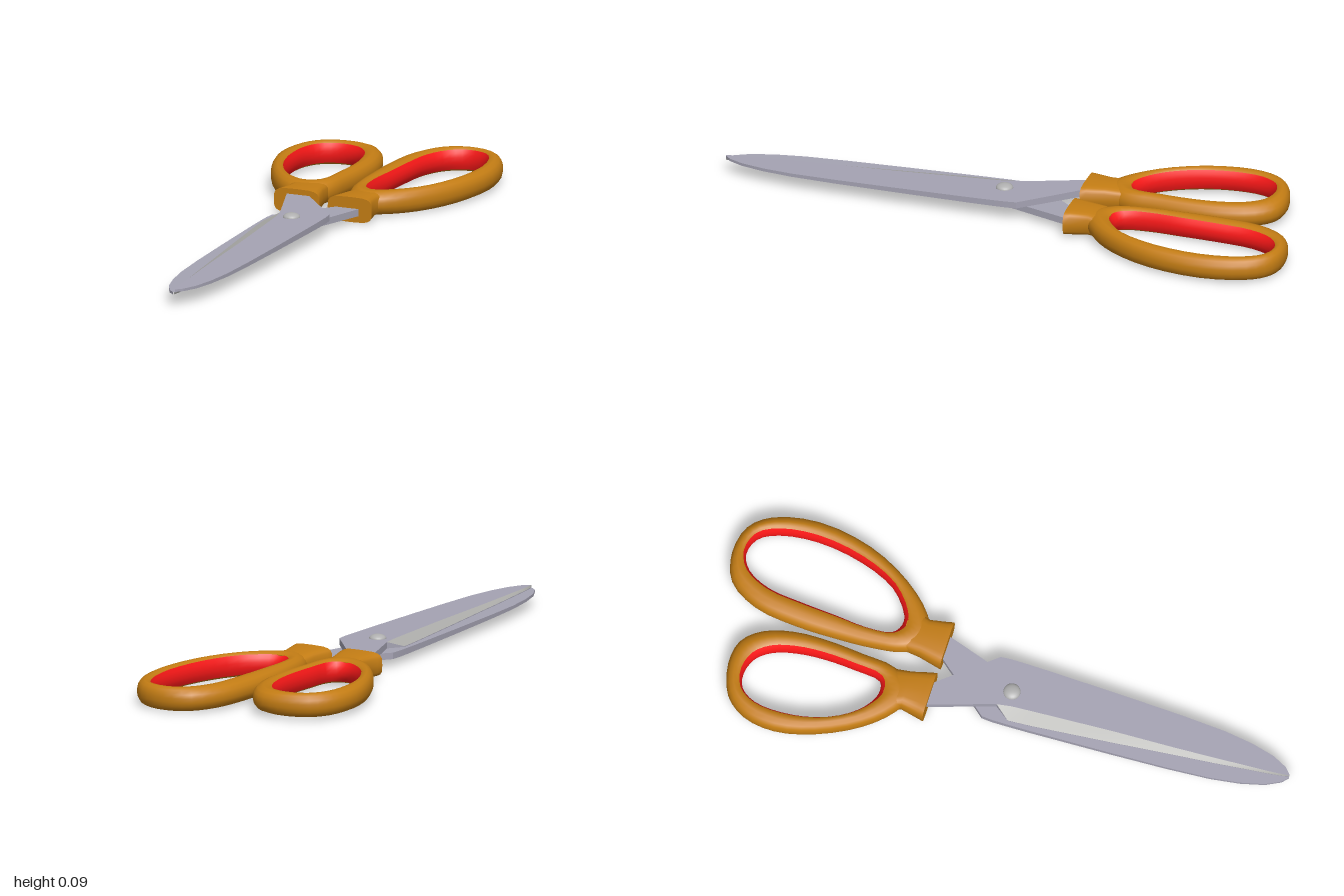
import * as THREE from 'three';
import { toCreasedNormals } from 'three/addons/utils/BufferGeometryUtils.js';

const paint = (color) => new THREE.MeshStandardMaterial({ color });
const orange = paint(0xc47d14);
const red = paint(0xfa1818);
const steel = paint(0xa5a3b3);
const ground = paint(0xadadaa);
const rivetGrey = paint(0xb0b0b0);

// Surface through rows of points; rows x columns gives the outward side.
function loft(name, rows, material, crease) {
  const pos = [];
  const tri = (a, b, c) => {
    const n = b.clone().sub(a).cross(c.clone().sub(a));
    if (n.length() > 1e-9) for (const p of [a, b, c]) pos.push(p.x, p.y, p.z);
  };
  for (let i = 0; i < rows.length - 1; i++) {
    for (let j = 0; j < rows[i].length - 1; j++) {
      const a = rows[i][j], b = rows[i + 1][j], c = rows[i + 1][j + 1], d = rows[i][j + 1];
      tri(a, b, c);
      tri(a, c, d);
    }
  }
  const geo = new THREE.BufferGeometry();
  geo.setAttribute('position', new THREE.Float32BufferAttribute(pos, 3));
  geo.computeVertexNormals();
  const mesh = new THREE.Mesh(toCreasedNormals(geo, crease), material);
  mesh.name = name;
  return mesh;
}

const V = (x, y, z) => new THREE.Vector3(x, y, z);
const MID = 0.048; // height of the plane where the blades meet

// Blade stations: z, cutting edge x, bevel ridge x, spine x, bevelled?
const STATIONS = [
  [-0.30, -0.165, -0.165, -0.115, 0], [-0.22, -0.14, -0.14, -0.058, 0],
  [-0.037, -0.08, -0.08, 0.095, 0], [0, -0.068, -0.068, 0.098, 0],
  [0.05, -0.105, -0.06, 0.098, 1], [0.13, -0.10, -0.055, 0.097, 1],
  [0.4, -0.075, -0.04, 0.09, 1], [0.6, -0.055, -0.033, 0.083, 1],
  [0.75, -0.041, -0.026, 0.074, 1], [0.85, -0.03, -0.02, 0.06, 1],
  [0.93, -0.022, -0.016, 0.04, 1], [0.98, -0.015, -0.012, 0.015, 1],
  [1.0, -0.01, -0.009, -0.006, 1],
];

function makeBlade(name) {
  const body = [], bevel = [];
  for (const [z, edge, ridge, spine, bevelled] of STATIONS) {
    const top = 0.073 - 0.016 * (z + 0.22) / 1.22;
    const bottom = MID + 0.0005;
    const edgeTop = V(edge, bevelled ? bottom + 0.002 : top, z);
    const ridgeTop = V(ridge, top, z);
    bevel.push([edgeTop, ridgeTop]);
    body.push([ridgeTop, V(spine, top, z), V(spine, bottom, z), V(edge, bottom, z), edgeTop]);
  }
  const blade = new THREE.Group();
  blade.name = name;
  blade.add(loft('bladeBody', body, steel, 0.3), loft('bladeBevel', bevel, ground, 0.3));
  return blade;
}

// Ring section: [share of the way from inner to outer outline, height]
const GRIP = [[0.16, 0.034], [0.3, 0.04], [0.55, 0.04], [0.8, 0.033], [0.95, 0.02], [1, 0.007],
  [1, -0.007], [0.95, -0.02], [0.8, -0.033], [0.55, -0.04], [0.3, -0.04], [0.16, -0.034]];
const LINING = [[0.16, -0.034], [0.06, -0.022], [0, -0.008], [0, 0.008], [0.06, 0.022], [0.16, 0.034]];

// outer and inner: matching outline points (x, z); neck: z, x min, x max, half height
function makeHandle(name, y, outer, inner, neck) {
  const curve = (pts) => new THREE.CatmullRomCurve3(pts.map(([x, z]) => V(x, y, z)), true, 'centripetal');
  const oc = curve(outer), ic = curve(inner), n = 42;
  const ring = (section) => Array.from({ length: n + 1 }, (_, i) => {
    const t = (i % n) / n, o = oc.getPoint(t), p = ic.getPoint(t);
    return section.map(([s, h]) => p.clone().lerp(o, s).setY(y + h));
  });

  // Rounded neck that holds the blade shank, closed at both ends
  const sides = 20;
  const round = (v) => Math.sign(v) * Math.pow(Math.abs(v), 0.5);
  const section = ([z, x0, x1, h], k) => Array.from({ length: sides + 1 }, (_, j) => {
    const a = -((j % sides) / sides) * Math.PI * 2;
    return V((x0 + x1) / 2 + k * round(Math.cos(a)) * (x1 - x0) / 2, y + k * round(Math.sin(a)) * h, z);
  });
  const rows = [section(neck[0], 0), ...neck.map((s) => section(s, 1)), section(neck[neck.length - 1], 0)];

  const handle = new THREE.Group();
  handle.name = name;
  handle.add(loft('gripRing', ring(GRIP), orange, 1), loft('gripLining', ring(LINING), red, 1),
    loft('gripNeck', rows, orange, 0.8));
  return handle;
}

export function createModel() {
  const model = new THREE.Group();
  model.name = 'scissors';

  // The lower blade is the upper one turned half round the long axis
  const upper = makeBlade('upperBlade');
  const lower = makeBlade('lowerBlade');
  lower.rotation.z = Math.PI;
  lower.position.set(-0.02, 2 * MID, 0);
  model.add(upper, lower);

  // Pivot rivet with a domed head on each face
  const rivet = new THREE.Group();
  rivet.name = 'rivet';
  rivet.position.set(-0.01, MID, 0.035);
  const pin = new THREE.Mesh(new THREE.CylinderGeometry(0.018, 0.018, 0.05, 20), rivetGrey);
  pin.name = 'rivetPin';
  rivet.add(pin);
  for (const side of [1, -1]) {
    const head = new THREE.Mesh(new THREE.SphereGeometry(0.029, 24, 8, 0, Math.PI * 2, 0, Math.PI / 2), rivetGrey);
    head.name = 'rivetHead';
    head.scale.y = 0.5;
    head.position.y = side * 0.021;
    if (side < 0) head.rotation.x = Math.PI;
    rivet.add(head);
  }
  model.add(rivet);

  // Small handle for the thumb
  model.add(makeHandle('thumbHandle', 0.05,
    [[-0.11, -0.28], [-0.18, -0.31], [-0.265, -0.40], [-0.34, -0.545], [-0.372, -0.68], [-0.355, -0.79], [-0.30, -0.86],
      [-0.195, -0.893], [-0.11, -0.88], [-0.055, -0.82], [-0.024, -0.715], [-0.02, -0.60], [-0.03, -0.475], [-0.045, -0.355]],
    [[-0.145, -0.385], [-0.19, -0.405], [-0.245, -0.46], [-0.29, -0.555], [-0.308, -0.67], [-0.30, -0.765], [-0.265, -0.82],
      [-0.21, -0.835], [-0.15, -0.815], [-0.11, -0.765], [-0.088, -0.69], [-0.08, -0.60], [-0.085, -0.49], [-0.10, -0.395]],
    [[-0.37, -0.195, -0.05, 0.034], [-0.30, -0.168, -0.042, 0.04], [-0.24, -0.182, -0.026, 0.042], [-0.22, -0.187, -0.022, 0.042]]));

  // Large handle for the fingers
  model.add(makeHandle('fingerHandle', 0.043,
    [[0.085, -0.28], [0.03, -0.345], [0.01, -0.45], [0.003, -0.58], [0.005, -0.725], [0.027, -0.87], [0.09, -0.97],
      [0.185, -1.0], [0.28, -0.98], [0.34, -0.91], [0.372, -0.755], [0.34, -0.565], [0.26, -0.41], [0.17, -0.315]],
    [[0.11, -0.385], [0.075, -0.41], [0.065, -0.50], [0.075, -0.60], [0.085, -0.725], [0.10, -0.845], [0.14, -0.925],
      [0.195, -0.955], [0.26, -0.935], [0.295, -0.87], [0.31, -0.74], [0.285, -0.58], [0.23, -0.455], [0.15, -0.39]],
    [[-0.37, 0.035, 0.18, 0.034], [-0.30, 0.028, 0.152, 0.04], [-0.24, 0.013, 0.163, 0.043], [-0.22, 0.008, 0.168, 0.043]]));

  return model;
}
